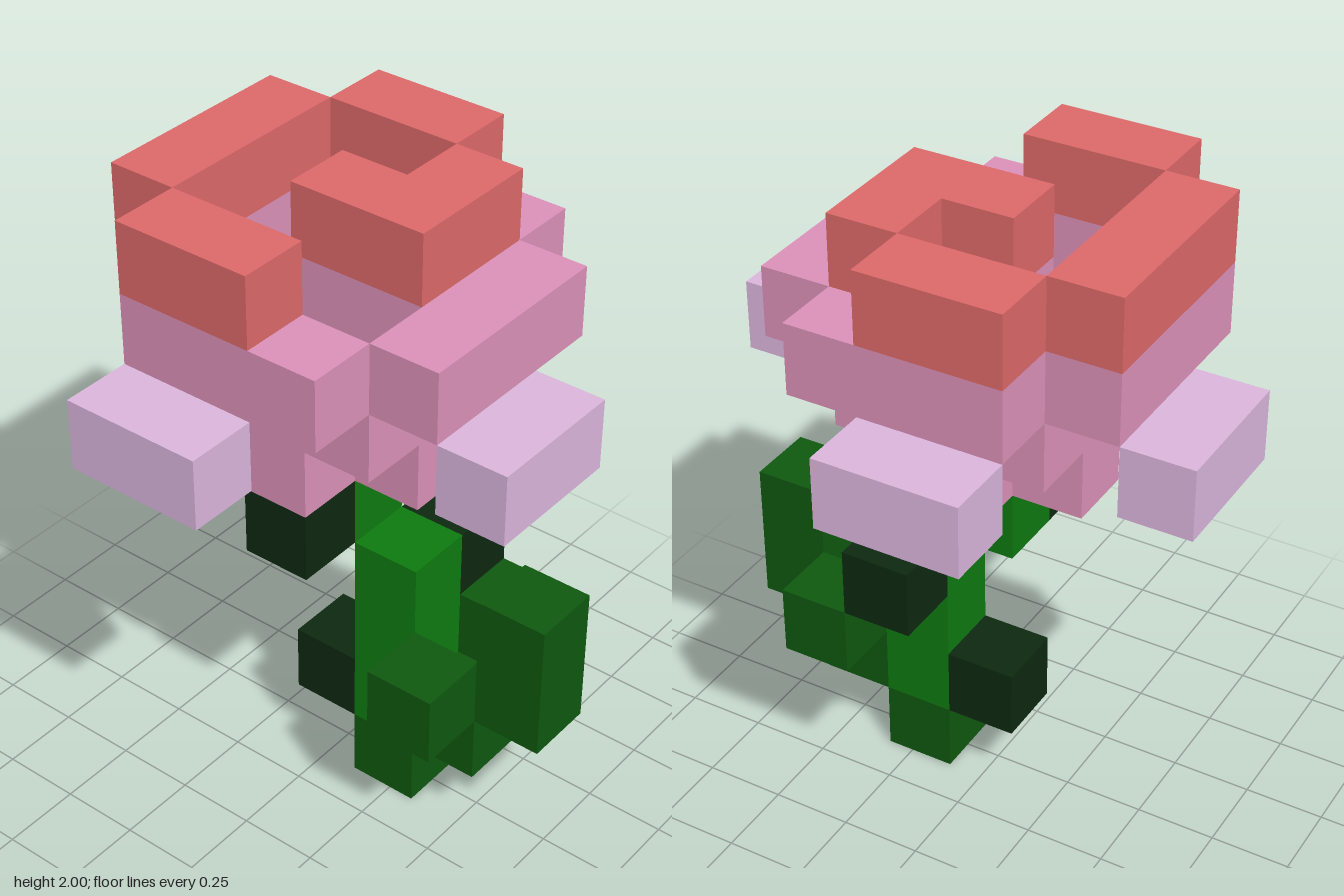
import * as THREE from 'three';

const U = 2 / 9; // edge length of one cube

const mat = (color) => new THREE.MeshStandardMaterial({ color, flatShading: true });

export function createModel() {
  const model = new THREE.Group();
  const red = mat(0xdd6868), pink = mat(0xdc91b8), lilac = mat(0xdab5dc);
  const bright = mat(0x0e7a10), green = mat(0x0f580f), dark = mat(0x0e2810);

  // Block filling the cells from (x0,y0,z0) to (x1,y1,z1), both included
  function block(name, material, [x0, y0, z0], [x1, y1, z1] = [x0, y0, z0]) {
    const geo = new THREE.BoxGeometry((x1 - x0 + 1) * U, (y1 - y0 + 1) * U, (z1 - z0 + 1) * U);
    const mesh = new THREE.Mesh(geo, material);
    mesh.name = name;
    mesh.position.set((x0 + x1) / 2 * U, ((y0 + y1 + 1) / 2) * U, (z0 + z1) / 2 * U);
    model.add(mesh);
  }

  // Stem, stepping back under the flower
  block('stemBase', green, [0, 0, 1]);
  block('stem', bright, [0, 1, 1], [0, 3, 1]);
  block('stemTop', bright, [0, 4, 0]);

  // Thorns
  block('thorn', dark, [0, 1, 0]);
  block('thorn', dark, [1, 3, 1]);
  block('thorn', dark, [-1, 4, 0]);

  // Cupped leaf at the front
  block('leafBase', green, [0, 1, 2]);
  for (const s of [-1, 1]) block('leafSide', green, [s, 2, 2]);
  block('leafTip', green, [0, 2, 3], [0, 3, 3]);

  // Flower base: a cross under a square floor
  block('flowerBase', pink, [-1, 5, 0], [1, 5, 0]);
  for (const s of [-1, 1]) block('flowerBase', pink, [0, 5, s]);
  block('flowerFloor', pink, [-1, 6, -1], [1, 6, 1]);

  // Ring of petals around a hollow, with red rims at the sides and back
  for (const s of [-1, 1]) {
    block('sidePetal', pink, [2 * s, 7, -1], [2 * s, 7, 1]);
    block('sidePetalRim', red, [2 * s, 8, -1], [2 * s, 8, 0]);
    block('endPetal', pink, [-1, 7, 2 * s], [1, 7, 2 * s]);
    block('outerSidePetal', lilac, [3 * s, 6, -1], [3 * s, 6, 0]);
  }
  block('backPetalRim', red, [-1, 8, -2], [1, 8, -2]);
  block('outerFrontPetal', lilac, [-1, 6, 3], [0, 6, 3]);
  block('outerBackPetal', lilac, [0, 6, -3], [1, 6, -3]);

  // Curled bud in the middle
  for (const [y, m] of [[7, pink], [8, red]]) {
    block('bud', m, [0, y, 0], [0, y, 1]);
    block('budCurl', m, [1, y, 1]);
  }
  return model;
}
